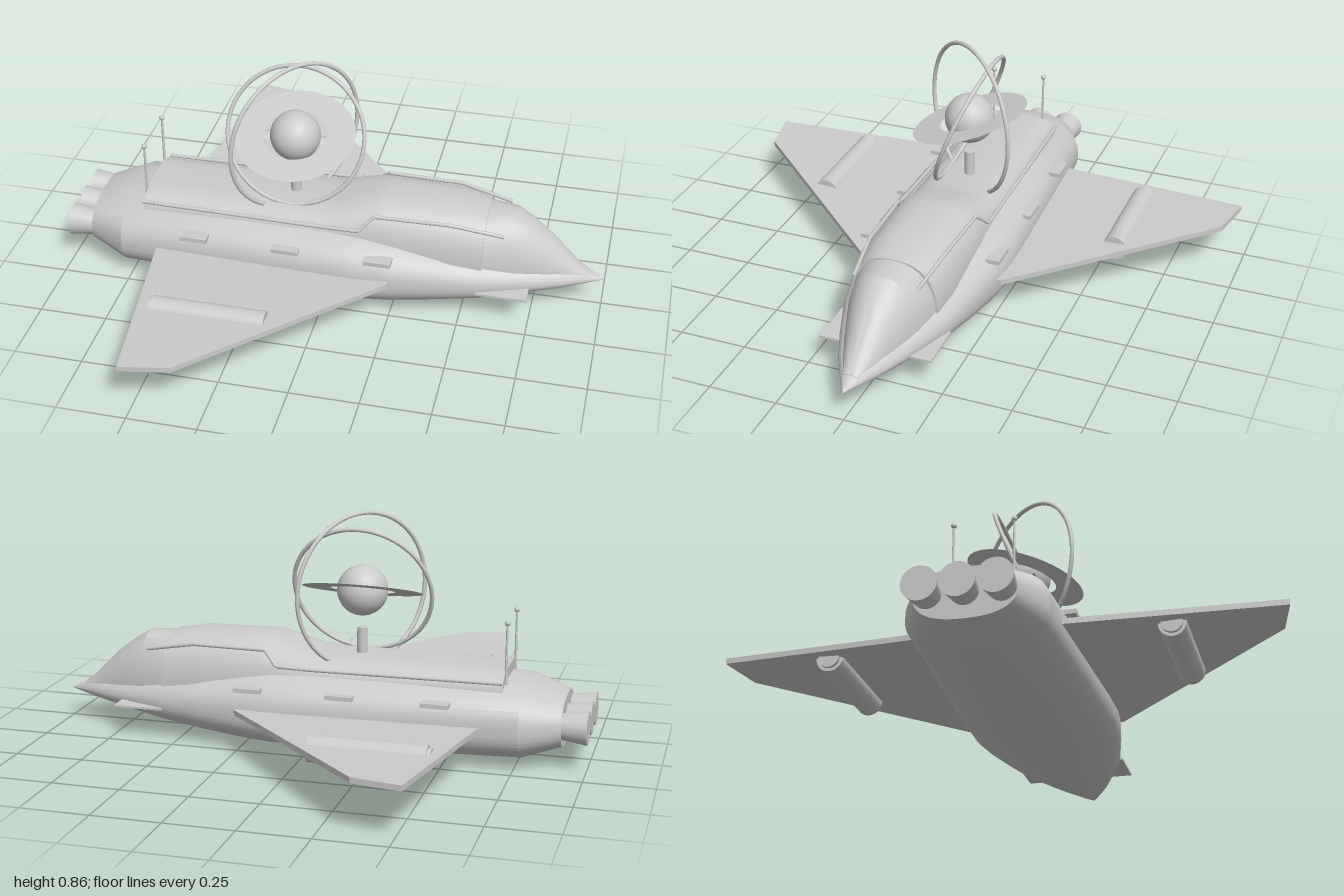
import * as THREE from 'three';
import { toCreasedNormals } from 'three/addons/utils/BufferGeometryUtils.js';

const mat = new THREE.MeshStandardMaterial({ color: 0xcccccc });
const thin = new THREE.MeshStandardMaterial({ color: 0xcccccc, side: THREE.DoubleSide });

// Loft of superellipse sections along x: [x, centreY, topY, bottomY, halfWidth, exponent]
function loft(sections, n = 56) {
  const pos = [], idx = [];
  const power = (v, e) => Math.sign(v) * Math.abs(v) ** (2 / e);
  for (const [x, cy, top, bottom, w, e] of sections) {
    for (let j = 0; j < n; j++) {
      const a = (j / n) * Math.PI * 2, s = power(Math.sin(a), e);
      pos.push(x, cy + s * (s > 0 ? top - cy : cy - bottom), w * power(Math.cos(a), e));
    }
  }
  const last = sections.length - 1;
  for (let i = 0; i < last; i++) {
    for (let j = 0; j < n; j++) {
      const k = (j + 1) % n, a = i * n + j, b = a + n, c = (i + 1) * n + k, d = i * n + k;
      idx.push(a, b, c, a, c, d);
    }
  }
  // End caps
  const c0 = pos.length / 3;
  pos.push(sections[0][0], sections[0][1], 0, sections[last][0], sections[last][1], 0);
  for (let j = 0; j < n; j++) {
    const k = (j + 1) % n;
    idx.push(c0, j, k, c0 + 1, last * n + k, last * n + j);
  }
  const g = new THREE.BufferGeometry();
  g.setAttribute('position', new THREE.Float32BufferAttribute(pos, 3));
  g.setIndex(idx);
  return toCreasedNormals(g, 0.42);
}

export function createModel() {
  const model = new THREE.Group();
  const add = (name, geometry, x = 0, y = 0, z = 0, material = mat) => {
    const m = new THREE.Mesh(geometry, material);
    m.name = name;
    m.position.set(x, y, z);
    model.add(m);
    return m;
  };

  // Fuselage with pointed nose
  add('fuselage', loft([
    [-0.91, 0.155, 0.245, 0.065, 0.17, 2.4],
    [-0.77, 0.155, 0.295, 0.022, 0.24, 2.5],
    [-0.3, 0.15, 0.302, 0.012, 0.26, 2.6],
    [0.0, 0.147, 0.304, 0.006, 0.272, 2.6],
    [0.14, 0.145, 0.3, 0.005, 0.274, 2.6],
    [0.25, 0.143, 0.287, 0.01, 0.262, 2.5],
    [0.4, 0.14, 0.263, 0.023, 0.234, 2.4],
    [0.56, 0.135, 0.235, 0.041, 0.198, 2.3],
    [0.72, 0.13, 0.205, 0.063, 0.14, 2.1],
    [0.84, 0.125, 0.18, 0.083, 0.09, 2],
    [0.92, 0.12, 0.155, 0.097, 0.048, 2],
    [1.0, 0.115, 0.117, 0.113, 0.002, 2],
  ]));

  // Raised back running into the cabin roof
  add('dorsalCabin', loft([
    [-0.7, 0.2, 0.336, 0.15, 0.165, 4],
    [-0.04, 0.2, 0.342, 0.15, 0.178, 3.6],
    [0.02, 0.2, 0.35, 0.15, 0.179, 3.4],
    [0.16, 0.19, 0.396, 0.15, 0.183, 2.9],
    [0.2, 0.19, 0.399, 0.15, 0.184, 2.8],
    [0.46, 0.18, 0.396, 0.14, 0.178, 2.7],
    [0.57, 0.17, 0.376, 0.13, 0.163, 2.6],
  ]));

  // Windshield sloping into the nose
  add('windshield', loft([
    [0.565, 0.17, 0.373, 0.12, 0.158, 2.3],
    [0.67, 0.16, 0.369, 0.12, 0.132, 2.2],
    [0.73, 0.155, 0.333, 0.12, 0.112, 2.1],
    [0.8, 0.15, 0.279, 0.12, 0.086, 2],
    [0.86, 0.14, 0.22, 0.12, 0.062, 2],
    [0.9, 0.135, 0.178, 0.12, 0.045, 2],
    [0.94, 0.13, 0.148, 0.115, 0.03, 2],
  ]));

  // Three flared engine nozzles
  for (const z of [-0.122, 0, 0.122]) {
    add('engineNozzle', new THREE.CylinderGeometry(0.046, 0.06, 0.1, 32).rotateZ(-Math.PI / 2), -0.95, 0.158, z);
  }

  for (const s of [1, -1]) {
    // Swept wing with slight dihedral
    const outline = new THREE.Shape(
      [[-0.645, 0.15], [-0.53, 0.968], [-0.355, 0.933], [0.25, 0.275], [0.25, 0.15]]
        .map(([x, z]) => new THREE.Vector2(x, s * z)));
    const wing = new THREE.ExtrudeGeometry(outline, { depth: 0.02, bevelEnabled: false }).rotateX(Math.PI / 2);
    const p = wing.attributes.position;
    for (let i = 0; i < p.count; i++) p.setY(i, p.getY(i) + 0.154 + Math.abs(p.getZ(i)) * 0.045);
    wing.computeVertexNormals();
    add('wing', wing);

    // Pod under each wing with a small tail ring
    add('wingPod', new THREE.CylinderGeometry(0.047, 0.047, 0.41, 32).rotateZ(Math.PI / 2), -0.325, 0.157, s * 0.587);
    add('podTail', new THREE.CylinderGeometry(0.036, 0.036, 0.02, 32).rotateZ(Math.PI / 2), -0.532, 0.157, s * 0.587);

    // Small nose fin
    add('noseFin', new THREE.BoxGeometry(0.185, 0.008, 0.12), 0.65, 0.12, s * 0.146);

    // Side vents
    for (const x of [-0.48, -0.135, 0.205]) {
      add('sideVent', new THREE.BoxGeometry(0.1, 0.016, 0.05), x, 0.237, s * 0.244);
    }

    // Rail along the back and cabin edge
    const path = new THREE.CurvePath();
    const pts = [[-0.7, 0.308, 0.165], [0.0, 0.308, 0.177], [0.12, 0.312, 0.18], [0.17, 0.362, 0.15],
      [0.45, 0.362, 0.142], [0.64, 0.325, 0.118]].map(([x, y, z]) => new THREE.Vector3(x, y, s * z));
    for (let i = 1; i < pts.length; i++) path.add(new THREE.LineCurve3(pts[i - 1], pts[i]));
    add('rail', new THREE.TubeGeometry(path, 120, 0.007, 8));

    // Antenna with ball tip
    add('antennaMast', new THREE.CylinderGeometry(0.004, 0.005, 0.23, 10), -0.703, 0.395, s * 0.104);
    add('antennaTip', new THREE.SphereGeometry(0.01, 16, 12), -0.703, 0.512, s * 0.104);
  }

  // Orb on a post with a flat tilted disc and two hoops
  const cx = -0.155, cy = 0.573;
  add('orbPost', new THREE.CylinderGeometry(0.019, 0.019, 0.12, 24), cx, 0.375, 0);
  add('orb', new THREE.SphereGeometry(0.093, 40, 28), cx, cy, 0);
  const disc = add('orbDisc', new THREE.RingGeometry(0.117, 0.22, 64).rotateX(-Math.PI / 2), cx, cy, 0, thin);
  disc.rotation.x = 0.31;
  const hoopA = add('uprightHoop', new THREE.TorusGeometry(0.283, 0.008, 10, 80), cx, cy, 0);
  hoopA.rotation.y = 0.866;
  const hoopB = add('tiltedHoop', new THREE.TorusGeometry(0.256, 0.008, 10, 80), cx, cy, 0);
  hoopB.rotation.x = -0.37;

  return model;
}
